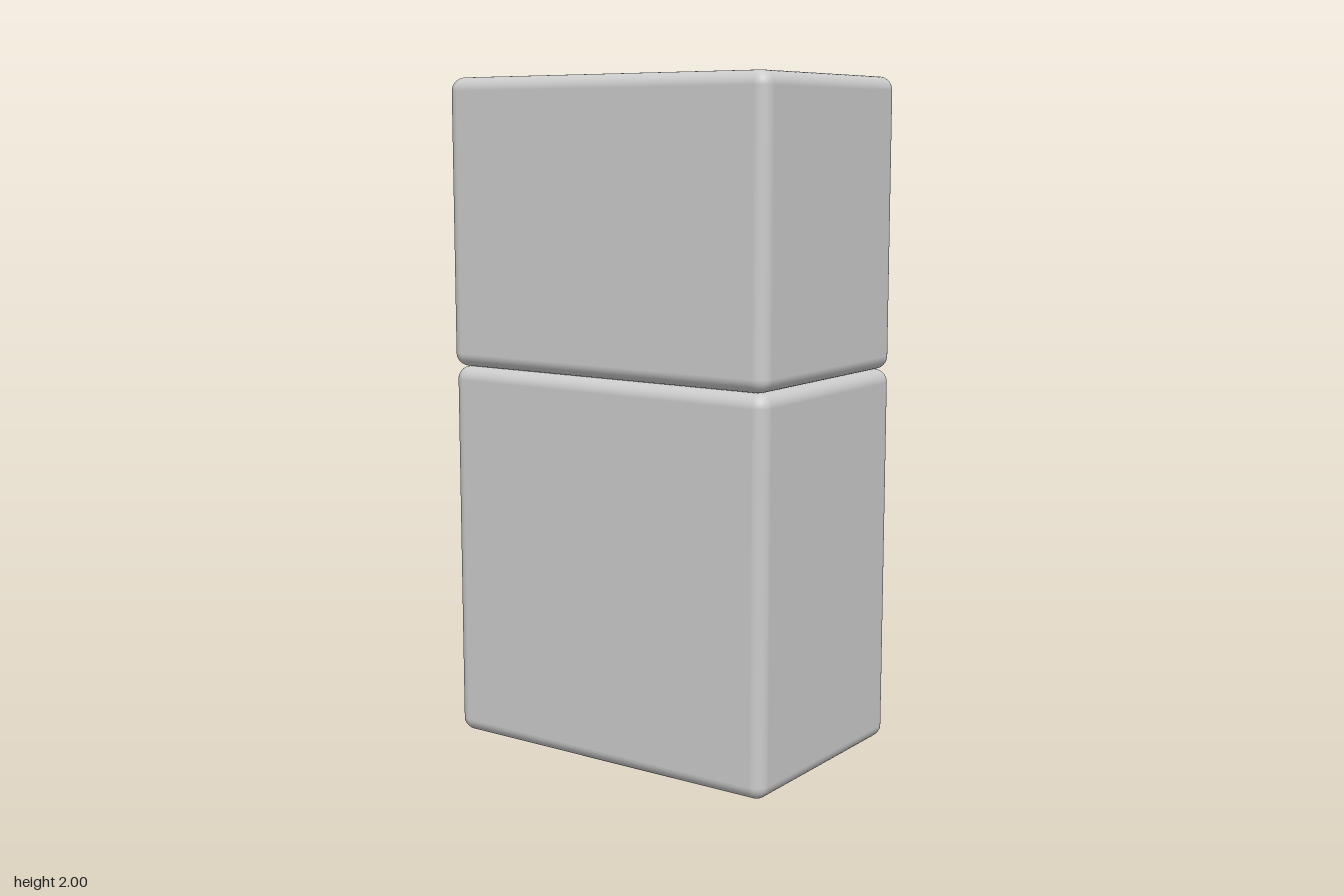
import * as THREE from 'three';
import { RoundedBoxGeometry } from 'three/addons/geometries/RoundedBoxGeometry.js';

export function createModel() {
  const model = new THREE.Group();
  model.name = 'stackedBlocks';
  const material = new THREE.MeshStandardMaterial({ color: 0xcccccc });

  // Soft-edged block spanning the given heights and depths
  function addBlock(name, bottom, top, back, front) {
    const geometry = new RoundedBoxGeometry(0.717, top - bottom, front - back, 5, 0.04);
    const block = new THREE.Mesh(geometry, material);
    block.name = name;
    block.position.set(0, (bottom + top) / 2, (back + front) / 2);
    model.add(block);
  }

  // Taller lower block, very slightly shallower at the back
  addBlock('lowerBlock', 0, 1.142, -0.552, 0.558);
  // Shorter upper block resting on it
  addBlock('upperBlock', 1.142, 2, -0.558, 0.558);

  return model;
}
